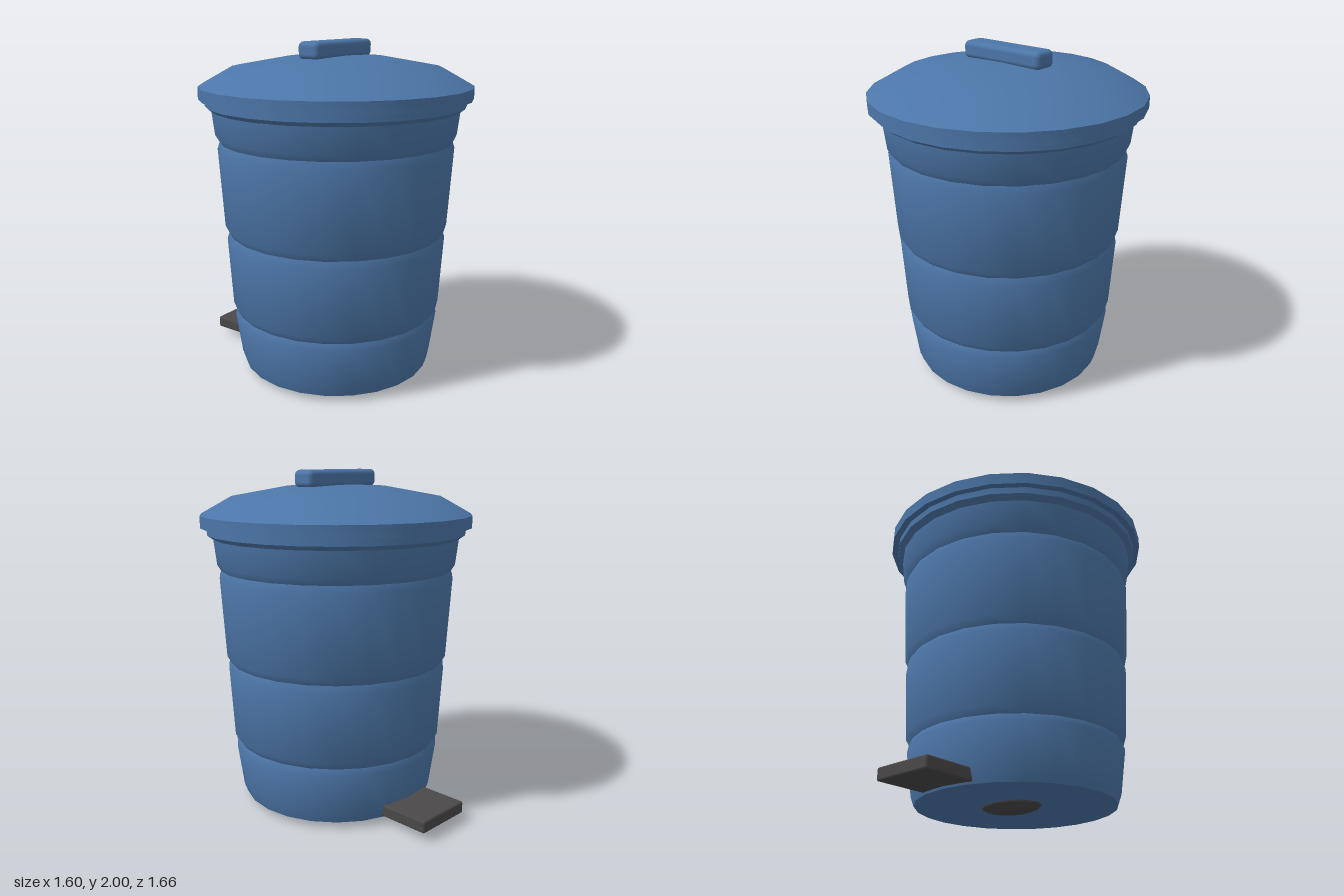
import * as THREE from 'three';
import { toCreasedNormals } from 'three/addons/utils/BufferGeometryUtils.js';
import { RoundedBoxGeometry } from 'three/addons/geometries/RoundedBoxGeometry.js';

const SIDES = 24;
const AXIS_Z = 0.03; // the bin sits slightly forward to make room for the pedal

// Revolves a [radius, height] profile, smooth around and sharp at strong bends
function turned(profile) {
  const points = profile.map(([r, y]) => new THREE.Vector2(r, y));
  return toCreasedNormals(new THREE.LatheGeometry(points, SIDES), 0.6);
}

export function createModel() {
  const group = new THREE.Group();
  group.name = 'pedalBin';

  const blue = new THREE.MeshStandardMaterial({ color: 0x4c76a8 });
  blue.name = 'blue plastic';
  const dark = new THREE.MeshStandardMaterial({ color: 0x4a4849 });
  dark.name = 'dark rubber';

  function add(name, geometry, material, x, y, z) {
    const mesh = new THREE.Mesh(geometry, material);
    mesh.name = name;
    mesh.position.set(x, y, z);
    group.add(mesh);
    return mesh;
  }

  // Tapered body with three pinched grooves and a stepped rim
  add('body', turned([
    [0, 0.037], [0.573, 0.037], [0.592, 0.09],
    [0.628, 0.345], [0.613, 0.38], [0.637, 0.42],
    [0.662, 0.835], [0.648, 0.875], [0.671, 0.915],
    [0.7, 1.385], [0.687, 1.425], [0.711, 1.465],
    [0.728, 1.61], [0.763, 1.635], [0.763, 1.69], [0, 1.69],
  ]), blue, 0, 0, AXIS_Z);

  // Domed lid with a short skirt
  add('lid', turned([
    [0, 1.675], [0.8, 1.675], [0.8, 1.745],
    [0.617, 1.847], [0.3, 1.904], [0, 1.915],
  ]), blue, 0, 0, AXIS_Z);

  // Grip on top of the lid
  add('lidHandle', new RoundedBoxGeometry(0.55, 0.1, 0.145, 3, 0.03), blue, 0, 1.95, AXIS_Z);

  // Foot pedal running into the back of the body
  add('pedal', new RoundedBoxGeometry(0.365, 0.072, 0.34, 2, 0.012), dark, 0, 0.085, -0.66);

  // Flattened foot bulging from the underside
  const foot = add('baseFoot', new THREE.SphereGeometry(1, 12, 8), dark, -0.01, 0.042, -0.02);
  foot.scale.set(0.19, 0.042, 0.15);

  return group;
}
